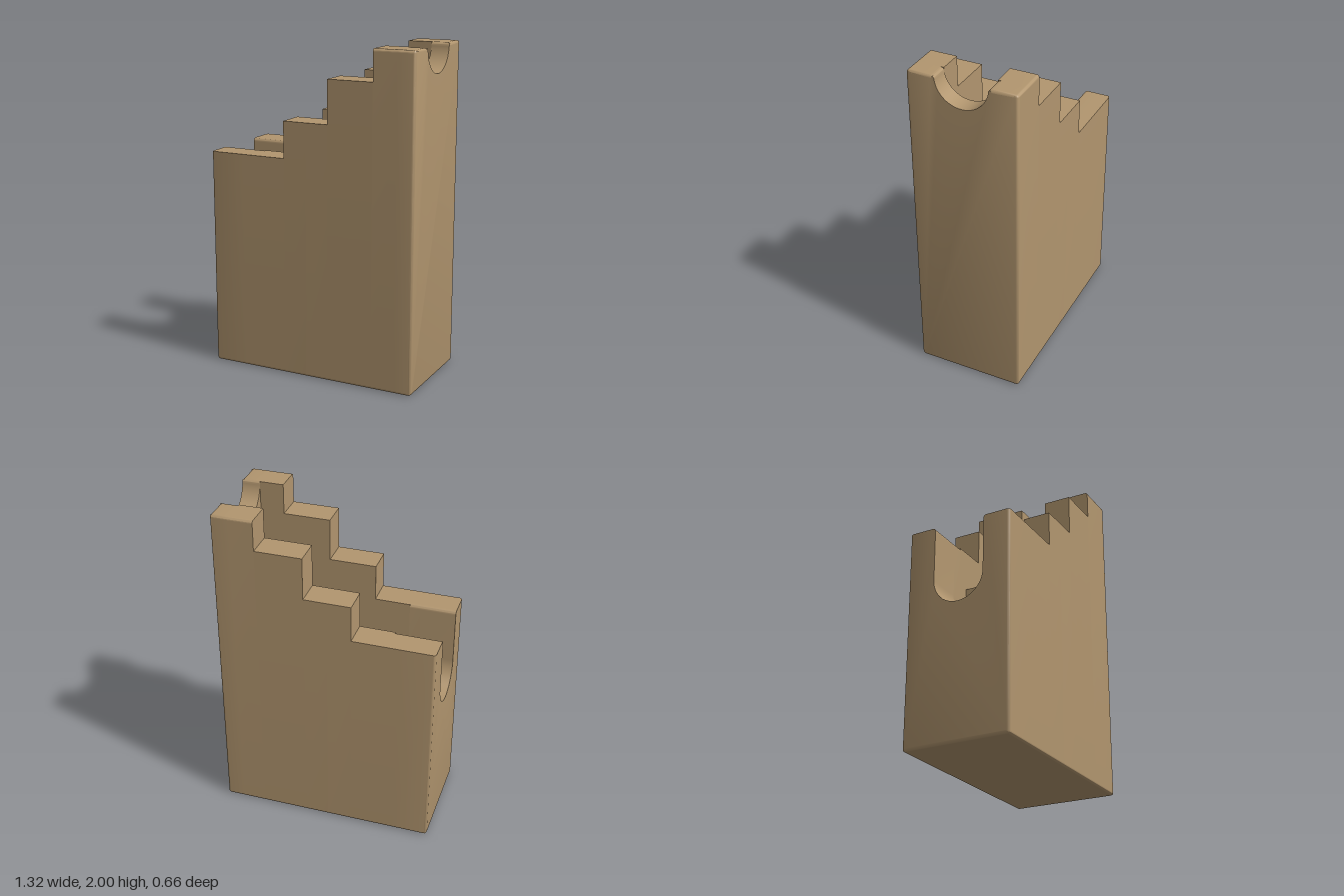
import * as THREE from 'three';
import { mergeGeometries, toCreasedNormals } from 'three/addons/utils/BufferGeometryUtils.js';

const HALF = 0.33;   // half depth of the body
const R = 0.16;      // half width of the channel
const EDGE = 0.016;  // rounding of the outer edges
const LIP = 0.022;   // rounding of the channel mouth

// Cross-section of the body: a block with a flat or round-bottomed channel
function profile({ top, floor, round = false, lip = false, soft = false }) {
  const s = new THREE.Shape();
  const H = Math.PI / 2;
  const l = lip ? LIP : 0;
  const centre = floor + R;
  const a = round ? Math.asin(Math.max(0, (centre - (top - l)) / R)) : 0;
  const u = R * Math.cos(a);
  s.moveTo(-HALF + EDGE, 0);
  s.lineTo(HALF - EDGE, 0);
  s.absarc(HALF - EDGE, EDGE, EDGE, -H, 0, false);
  if (soft) s.absarc(HALF - EDGE, top - EDGE, EDGE, 0, H, false);
  else s.lineTo(HALF, top);
  s.lineTo(R + l, top);
  if (lip) s.quadraticCurveTo(u, top, u, top - l);
  if (round) s.absarc(0, centre, R, -a, -Math.PI + a, true);
  else {
    s.lineTo(R, floor);
    s.lineTo(-R, floor);
  }
  if (lip) {
    s.lineTo(-u, top - l);
    s.quadraticCurveTo(-u, top, -R - l, top);
  } else s.lineTo(-R, top);
  if (soft) s.absarc(-HALF + EDGE, top - EDGE, EDGE, H, Math.PI, false);
  else s.lineTo(-HALF, top);
  s.absarc(-HALF + EDGE, EDGE, EDGE, Math.PI, Math.PI + H, false);
  return s;
}

// One slice of the body from x0 to x1; end = -1 or 1 rounds that outer end
function slice({ x0, x1, end = 0, ...section }) {
  const g = new THREE.ExtrudeGeometry(profile(section), {
    depth: x1 - x0, steps: end ? 4 : 1, bevelEnabled: false, curveSegments: 12,
  });
  g.rotateY(Math.PI / 2);
  g.translate(x0, 0, 0);
  if (end) {
    const p = g.attributes.position;
    for (let i = 0; i < p.count; i++) {
      const d = end < 0 ? x1 - p.getX(i) : p.getX(i) - x0;
      const inset = EDGE - Math.sqrt(Math.max(0, EDGE * EDGE - d * d));
      const y = p.getY(i), z = p.getZ(i);
      if (Math.abs(z) > 0.3) p.setZ(i, z * (1 - inset / HALF));
      if (y < 0.02) p.setY(i, y + inset * (1 - y / 0.02));
      else if (section.soft && y > section.top - 0.002) p.setY(i, y - inset);
    }
  }
  g.deleteAttribute('uv');
  return g;
}

export function createModel() {
  const group = new THREE.Group();
  const tan = new THREE.MeshStandardMaterial({ color: 0xb2966f });
  tan.name = 'tan';

  // Heights of the inner steps, lowest first; each lifter rests one step down
  const rise = [0.83, 1.09, 1.34, 1.595];
  const slots = rise.map((h) => h - 0.3);
  const low = { top: 1.333, floor: rise[0], round: true, lip: true };
  const high = { top: 2, floor: 1.84, round: true, lip: true, soft: true };

  const slices = [
    // entry trough
    { x0: -0.66, x1: -0.66 + EDGE, end: -1, ...low },
    { x0: -0.66 + EDGE, x1: -0.445, ...low },
    // slots and fixed steps
    { x0: -0.445, x1: -0.38, top: 1.333, floor: slots[0], lip: true },
    { x0: -0.38, x1: -0.305, top: 1.333, floor: slots[0] },
    { x0: -0.305, x1: -0.165, top: 1.333, floor: rise[1] },
    { x0: -0.165, x1: -0.02, top: 1.555, floor: slots[1] },
    { x0: -0.02, x1: 0.12, top: 1.555, floor: rise[2] },
    { x0: 0.12, x1: 0.265, top: 1.815, floor: slots[2] },
    { x0: 0.265, x1: 0.405, top: 1.815, floor: rise[3] },
    { x0: 0.405, x1: 0.55, top: 2, floor: slots[3], soft: true },
    // exit trough
    { x0: 0.55, x1: 0.66 - EDGE, ...high },
    { x0: 0.66 - EDGE, x1: 0.66, end: 1, ...high },
  ];
  const body = new THREE.Mesh(
    toCreasedNormals(mergeGeometries(slices.map(slice)), 0.6), tan);
  body.name = 'steppedBody';
  group.add(body);

  // Lifter blocks standing in the slots with a small clearance
  const lifters = new THREE.Group();
  lifters.name = 'lifters';
  rise.forEach((top, i) => {
    const lifter = new THREE.Mesh(new THREE.BoxGeometry(0.128, 0.3, 0.304), tan);
    lifter.name = `lifter${i + 1}`;
    lifter.position.set(-0.376 + i * 0.2855, top - 0.15, 0);
    lifters.add(lifter);
  });
  group.add(lifters);
  return group;
}
